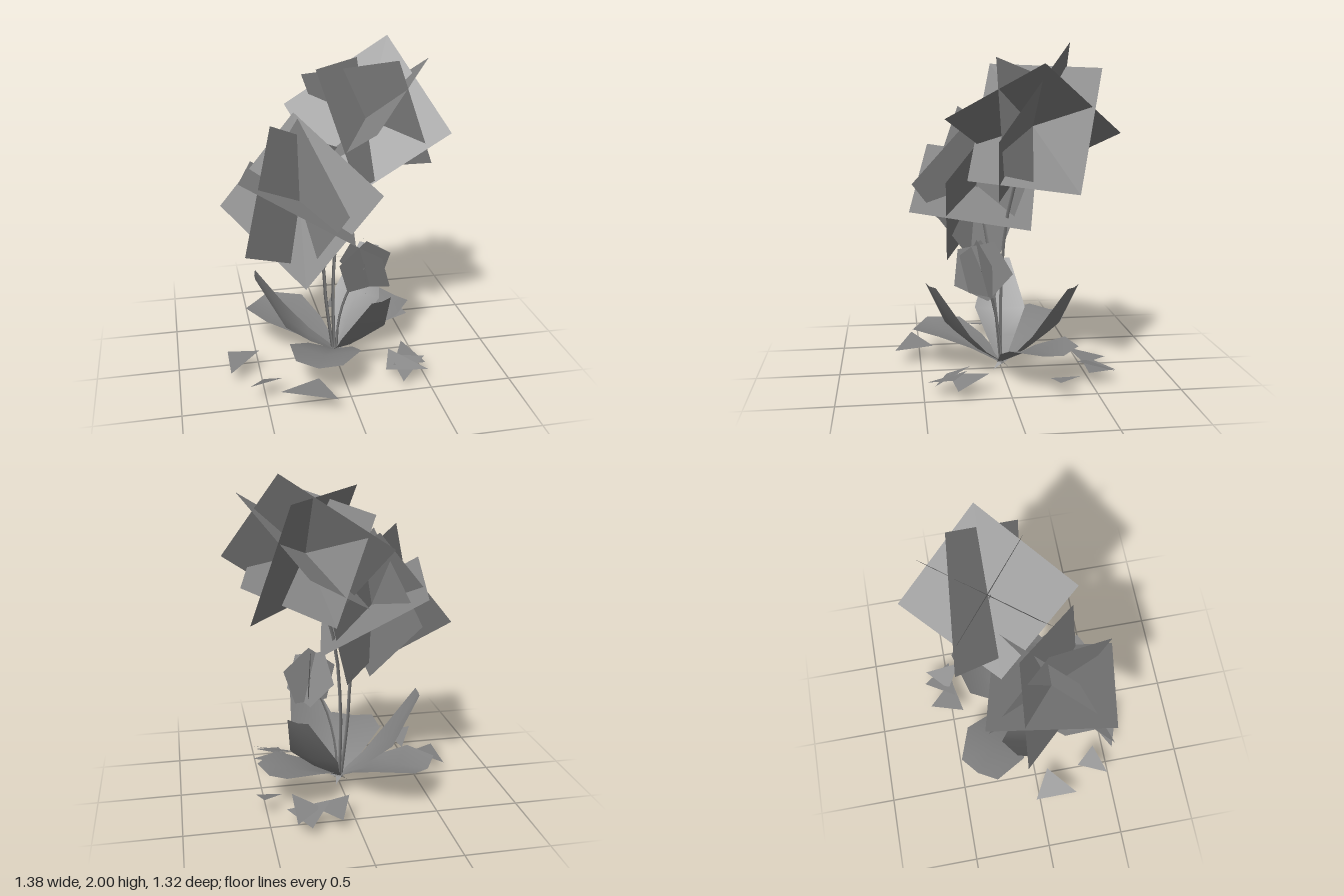
import * as THREE from 'three';

const material = new THREE.MeshStandardMaterial({ color: 0x848484, side: THREE.DoubleSide });
const V = (p) => new THREE.Vector3(...p);

function surface(name, points, index) {
  const g = new THREE.BufferGeometry();
  g.setAttribute('position', new THREE.Float32BufferAttribute(points.flatMap((p) => p.toArray()), 3));
  g.setIndex(index);
  g.computeVertexNormals();
  const mesh = new THREE.Mesh(g, material);
  mesh.name = name;
  return mesh;
}

// Square petal card spanned by its two half-diagonals
function card(centre, a, b) {
  const c = V(centre), u = V(a), v = V(b);
  return surface('petalCard',
    [c.clone().add(u), c.clone().add(v), c.clone().sub(u), c.clone().sub(v)], [0, 1, 2, 0, 2, 3]);
}

function flower(name, centre, diagonals) {
  const group = new THREE.Group();
  group.name = name;
  for (const [a, b] of diagonals) group.add(card(centre, a, b));
  return group;
}

// Folded leaf reaching to (dx, dz): sections of edge, midrib, edge along [fraction of reach, height, width]
function leaf(name, dx, dz, fold, spine) {
  const l = Math.hypot(dx, dz), x = dx / l, z = dz / l, points = [], index = [];
  spine.forEach(([t, y, w], i) => {
    for (const s of [-1, 0, 1]) {
      const lift = s ? w * fold : 0, r = t * l - lift;
      points.push(new THREE.Vector3(x * r - z * s * w / 2, y + lift, z * r + x * s * w / 2));
    }
    if (i) for (const k of [0, 1]) {
      const a = i * 3 - 3 + k;
      index.push(a, a + 1, a + 4, a, a + 4, a + 3);
    }
  });
  return surface(name, points, index);
}

function stem(name, path, radius) {
  const curve = new THREE.CatmullRomCurve3(path.map(V));
  const mesh = new THREE.Mesh(new THREE.TubeGeometry(curve, 8, radius, 3), material);
  mesh.name = name;
  return mesh;
}

export function createModel() {
  const model = new THREE.Group();
  model.name = 'floweringPlant';

  // Two large blooms of crossed square cards
  model.add(flower('upperFlower', [0.225, 1.53, -0.155], [
    [[0.17, 0.47, -0.175], [0.465, -0.05, 0.255]],
    [[0.385, 0.355, 0], [-0.055, 0.04, 0.505]],
    [[-0.345, 0.355, 0.21], [0.13, 0.33, -0.37]],
    [[0.137, 0.39, 0.23], [0.36, -0.24, 0.215]],
  ]));
  model.add(flower('lowerFlower', [-0.235, 1.13, 0.13], [
    [[-0.38, 0.23, 0.29], [0.24, -0.125, 0.43]],
    [[0, 0.485, -0.19], [0.45, 0.077, 0.22]],
    [[-0.175, 0.49, 0.1], [-0.36, -0.19, 0.32]],
    [[0, 0.49, -0.03], [0.21, 0.04, 0.41]],
  ]));

  // Bud of crossed five-sided cards
  const bud = new THREE.Group();
  bud.name = 'bud';
  bud.position.set(0.16, 0.67, 0.14);
  [[0.15, 0.3, 0.3], [-0.2, 1.35, 0.1], [0.5, 2.4, -0.4]].forEach((r) => {
    const m = new THREE.Mesh(new THREE.CircleGeometry(0.19, 5), material);
    m.name = 'budCard';
    m.rotation.set(...r);
    bud.add(m);
  });
  model.add(bud);

  // Stems
  model.add(
    stem('upperStem', [[0, 0.03, 0], [-0.01, 0.45, 0], [0.035, 0.95, -0.03], [0.22, 1.53, -0.15]], 0.012),
    stem('lowerStem', [[-0.01, 0.03, 0], [-0.06, 0.4, 0.03], [-0.1, 0.78, 0.07], [-0.23, 1.13, 0.13]], 0.012),
    stem('budStem', [[0.01, 0.03, 0], [0.02, 0.25, 0.02], [0.07, 0.48, 0.07], [0.16, 0.67, 0.14]], 0.009));

  // Three upright leaves and three spreading leaves
  const upright = [[0, 0.04, 0.04], [0.34, 0.15, 0.18], [0.66, 0.29, 0.33], [1, 0.59, 0.14]];
  const low = [[0, 0.04, 0.06], [0.33, 0.14, 0.28], [0.67, 0.21, 0.44], [1, 0.23, 0.28]];
  for (const [x, z] of [[0.19, 0.45], [-0.5, -0.05], [0.32, -0.39]]) model.add(leaf('uprightLeaf', x, z, 0.04, upright));
  for (const [x, z] of [[-0.2, 0.52], [0.48, -0.3], [-0.47, -0.39]]) model.add(leaf('spreadingLeaf', x, z, 0.08, low));

  // Scattered triangular leaflets near the ground
  const leaflets = [
    [[-0.69, 0.08, -0.03], [-0.69, 0.09, 0.25], [-0.5, 0.13, 0.08]],
    [[-0.6, 0.13, 0.48], [-0.5, 0.06, 0.3], [-0.4, 0.13, 0.42]],
    [[-0.43, 0.12, 0.55], [-0.11, 0.1, 0.66], [-0.18, 0.1, 0.42]],
    [[0.41, 0.12, 0.12], [0.52, 0.06, 0.31], [0.3, 0.09, 0.35]],
    [[0.3, 0.13, 0.22], [0.5, 0.09, 0.44], [0.25, 0.07, 0.36]],
    [[0.33, 0.05, 0.48], [0.5, 0.12, 0.33], [0.3, 0.1, 0.24]],
    [[0.1, 0.08, -0.64], [0.02, 0.12, -0.42], [0.26, 0.1, -0.47]],
    [[0.28, 0.06, -0.66], [0.14, 0.12, -0.46], [0.4, 0.09, -0.47]],
    [[0.36, 0.08, -0.64], [0.2, 0.1, -0.5], [0.36, 0.15, -0.4]],
    [[0.52, 0.12, -0.39], [0.4, 0.07, -0.24], [0.56, 0.1, -0.27]],
  ];
  for (const t of leaflets) model.add(surface('groundLeaflet', t.map(V), [0, 1, 2]));

  // Small root star at the base
  for (let i = 0; i < 6; i++) {
    const a = i * Math.PI / 3, c = Math.cos(a), s = Math.sin(a);
    model.add(surface('rootSpike', [
      new THREE.Vector3(-s * 0.02, 0.06, c * 0.02), new THREE.Vector3(s * 0.02, 0.04, -c * 0.02),
      new THREE.Vector3(c * 0.06, i % 2 ? 0 : 0.05, s * 0.06)], [0, 1, 2]));
  }
  return model;
}
